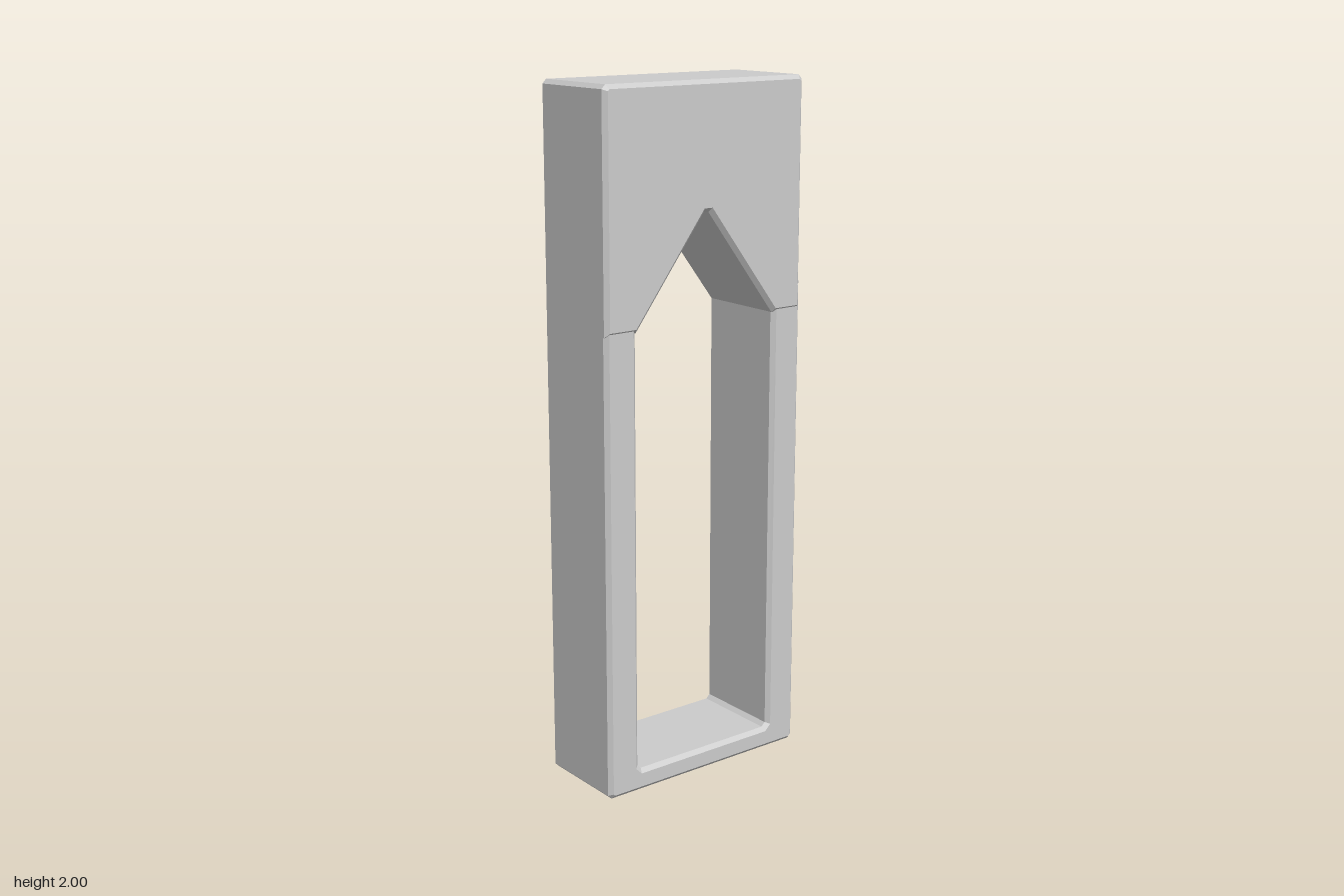
import * as THREE from 'three';

const CHAMFER = 0.012;

// Extrude an outline between two depths with chamfered front and back edges
function chamferedSlab(name, points, zBack, zFront, material) {
  const shape = new THREE.Shape(points.map(([x, y]) => new THREE.Vector2(x, y)));
  const geometry = new THREE.ExtrudeGeometry(shape, {
    depth: zFront - zBack - 2 * CHAMFER,
    bevelEnabled: true,
    bevelThickness: CHAMFER,
    bevelSize: CHAMFER,
    bevelOffset: -CHAMFER,
    bevelSegments: 1,
  });
  geometry.translate(0, 0, zBack + CHAMFER);
  const mesh = new THREE.Mesh(geometry, material);
  mesh.name = name;
  return mesh;
}

export function createModel() {
  const group = new THREE.Group();
  group.name = 'pointedArchFrame';
  const material = new THREE.MeshStandardMaterial({ color: 0xcccccc, flatShading: true });
  const c = CHAMFER;
  const inner = 0.24, left = -0.344, sill = 0.065;

  // U-shaped lower frame: two legs joined by a thin sill
  const right = 0.344, legTop = 1.42;
  group.add(chamferedSlab('lowerFrame', [
    [left + c, 0], [right - c, 0], [right, c], [right, legTop],
    [inner, legTop], [inner, sill + c], [inner - c, sill],
    [-inner + c, sill], [-inner, sill + c], [-inner, legTop],
    [left, legTop], [left, c],
  ], -0.147, 0.143, material));

  // Head block with a pointed notch, slightly proud of the legs in front
  const headRight = 0.339, base = 1.34, apex = 1.645, top = 2;
  group.add(chamferedSlab('archHead', [
    [left, base], [-inner, base], [-0.008, apex], [0.008, apex], [inner, base],
    [headRight, base], [headRight, top - c], [headRight - c, top],
    [left + c, top], [left, top - c],
  ], -0.147, 0.147, material));

  return group;
}
